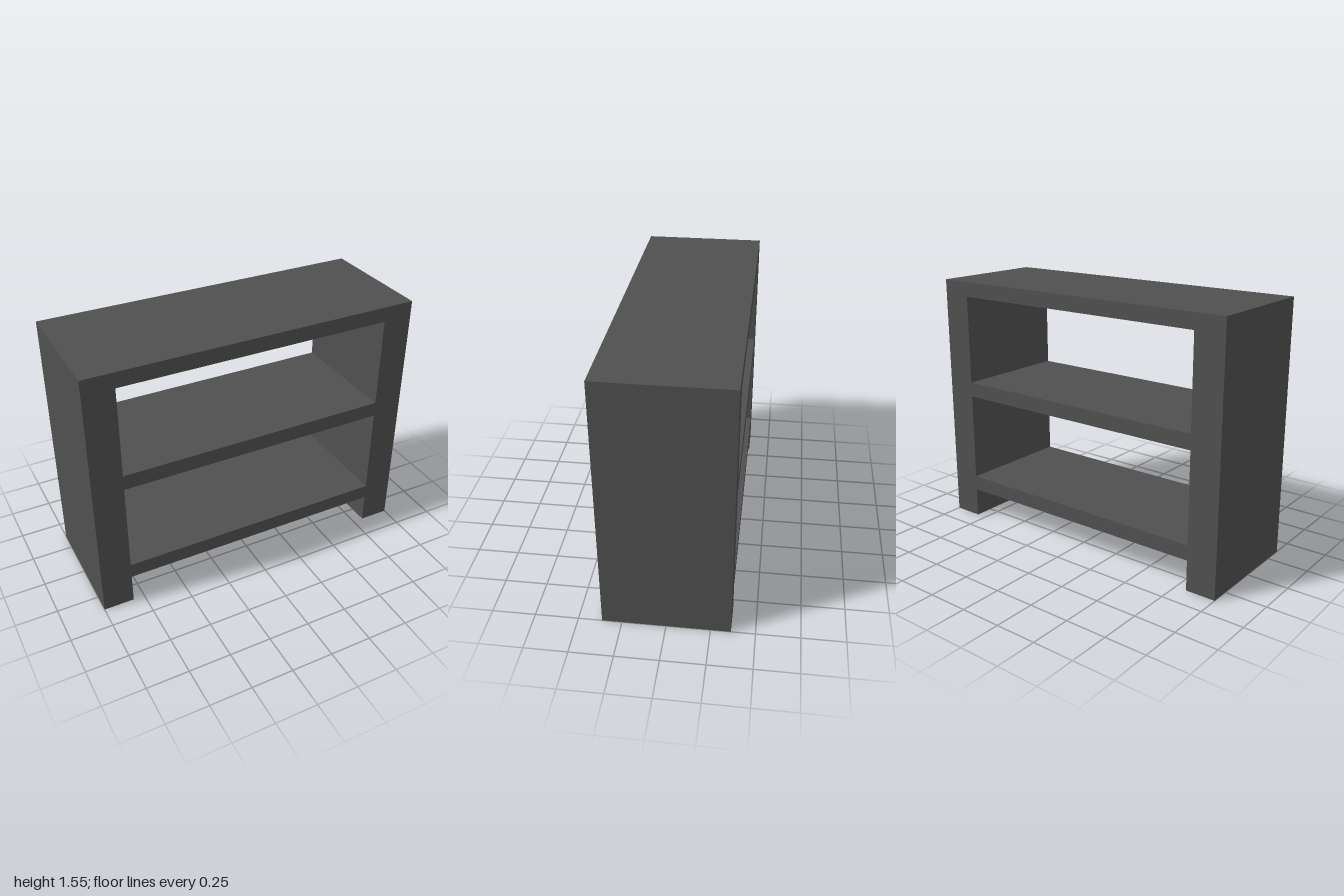
import * as THREE from 'three';

const U = 1 / 11;            // board thickness
const HEIGHT = 17 * U;
const DEPTH = 8 * U;
const INNER = 1 - 2 * U;     // half width between the uprights
const SHELVES = [2 * U, 9 * U, 16 * U]; // underside heights; the last is the top board

export function createModel() {
  const model = new THREE.Group();
  model.name = 'shelfUnit';
  const charcoal = new THREE.MeshStandardMaterial({ color: 0x505050 });
  charcoal.name = 'charcoal';

  // Outline of the one-piece frame, with the gap between the feet
  const outline = new THREE.Shape([
    [-1, 0], [-INNER, 0], [-INNER, SHELVES[0]], [INNER, SHELVES[0]],
    [INNER, 0], [1, 0], [1, HEIGHT], [-1, HEIGHT],
  ].map(([x, y]) => new THREE.Vector2(x, y)));

  // Open compartments between neighbouring boards
  for (let i = 0; i < SHELVES.length - 1; i++) {
    const bottom = SHELVES[i] + U, top = SHELVES[i + 1];
    outline.holes.push(new THREE.Path([
      new THREE.Vector2(-INNER, bottom), new THREE.Vector2(-INNER, top),
      new THREE.Vector2(INNER, top), new THREE.Vector2(INNER, bottom),
    ]));
  }

  const geometry = new THREE.ExtrudeGeometry(outline, { depth: DEPTH, bevelEnabled: false });
  geometry.translate(0, 0, -DEPTH / 2);
  const frame = new THREE.Mesh(geometry, charcoal);
  frame.name = 'shelfFrame';
  model.add(frame);
  return model;
}
